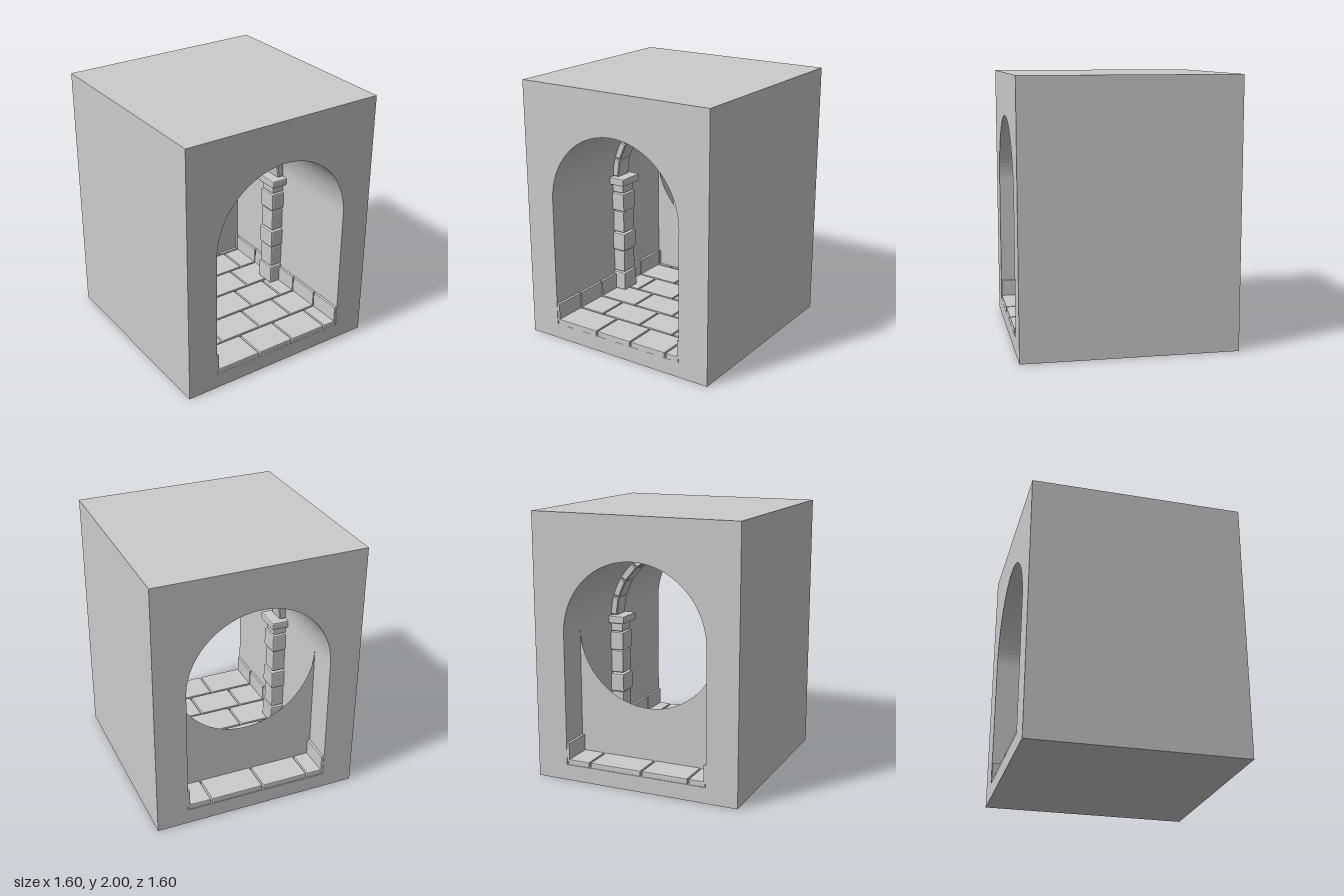
import * as THREE from 'three';
import { RoundedBoxGeometry } from 'three/addons/geometries/RoundedBoxGeometry.js';

const R = 0.56;        // tunnel radius and half width
const FLOOR = 0.12;    // bottom of the opening
const SPRING = 1.12;   // height where the arch starts
const HALF = 0.8;

const stone = new THREE.MeshStandardMaterial({ color: 0xcccccc, flatShading: true });
const thinStone = new THREE.MeshStandardMaterial({ color: 0xcccccc, side: THREE.DoubleSide });

function add(parent, geometry, name, material = stone) {
  const mesh = new THREE.Mesh(geometry, material);
  mesh.name = name;
  parent.add(mesh);
  return mesh;
}

function group(parent, name) {
  const g = new THREE.Group();
  g.name = name;
  parent.add(g);
  return g;
}

// Chamfered stone filling the given ranges
function block(parent, name, [x0, x1], [y0, y1], [z0, z1], chamfer = 0.007) {
  const mesh = add(parent, new RoundedBoxGeometry(x1 - x0, y1 - y0, z1 - z0, 1, chamfer), name);
  mesh.position.set((x0 + x1) / 2, (y0 + y1) / 2, (z0 + z1) / 2);
  return mesh;
}

// Solid block with an arched passage from front to back
function tunnelBlock(parent) {
  const outline = new THREE.Shape();
  outline.moveTo(-HALF, 0).lineTo(HALF, 0).lineTo(HALF, 2).lineTo(-HALF, 2).closePath();
  const opening = new THREE.Path();
  opening.moveTo(-R, FLOOR).lineTo(R, FLOOR).lineTo(R, SPRING);
  opening.absarc(0, SPRING, R, 0, Math.PI, false);
  opening.closePath();
  outline.holes.push(opening);
  const geometry = new THREE.ExtrudeGeometry(outline, { depth: 2 * HALF, bevelEnabled: false, curveSegments: 32 });
  geometry.translate(0, 0, -HALF);
  add(parent, geometry, 'tunnelBlock');
}

// Thin wall near the back, cut away by the lower half of a circle
function backWall(parent) {
  const shape = new THREE.Shape();
  shape.moveTo(-R, FLOOR).lineTo(R, FLOOR).lineTo(R, SPRING);
  shape.absarc(0, SPRING, R, 0, -Math.PI, true);
  const wall = add(parent, new THREE.ShapeGeometry(shape, 32), 'backWall', thinStone);
  wall.position.z = -0.56;
}

// Staggered rows of floor tiles, from front to back
function floorTiles(parent) {
  const floor = group(parent, 'floorTiles');
  const seams = [
    [-0.18, 0.13, 0.44],
    [-0.33, 0.02, 0.32],
    [-0.22, 0.14, 0.42],
    [-0.38, -0.04, 0.28],
    [-0.2, 0.12, 0.4],
    [-0.42, -0.05, 0.37],
  ];
  const depth = 2 * HALF / seams.length, gap = 0.006;
  seams.forEach((row, r) => {
    const xs = [-R, ...row, R], z1 = HALF - r * depth;
    for (let i = 0; i < xs.length - 1; i++) {
      block(floor, 'floorTile', [xs[i] + gap, xs[i + 1] - gap], [FLOOR - 0.01, 0.16],
        [z1 - depth + gap, z1 - (r ? gap : 0.001)]);
    }
  });
}

// Low stones along the foot of a side wall
function skirting(parent, side) {
  const g = group(parent, side > 0 ? 'leftSkirting' : 'rightSkirting');
  const count = 6, length = 2 * HALF / count;
  for (let i = 0; i < count; i++) {
    const z = -HALF + i * length;
    const stoneMesh = block(g, 'skirtingStone', [0.54, 0.57], [0.14, 0.285], [z + 0.004, z + length - 0.004], 0.005);
    stoneMesh.position.x *= side;
  }
}

// Pillar of alternating wide and narrow stones under a cap
function pillar(parent, side) {
  const g = group(parent, side > 0 ? 'leftPillar' : 'rightPillar');
  const courses = [
    [0.16, 0.31, 0.45, 0.08],
    [0.315, 0.495, 0.46, 0.07],
    [0.5, 0.645, 0.45, 0.08],
    [0.655, 0.83, 0.46, 0.07],
    [0.84, 0.985, 0.45, 0.08],
    [0.99, 1.055, 0.46, 0.07],
    [1.06, 1.12, 0.43, 0.11],
  ];
  courses.forEach(([y0, y1, inner, z], i) => {
    const mesh = block(g, i === courses.length - 1 ? 'pillarCap' : 'pillarStone', [inner, R + 0.01], [y0, y1], [-z, z], 0.01);
    mesh.position.x *= side;
  });
}

// Arch of wedge stones, flat on the inside and curved on the outside
function arch(parent) {
  const g = group(parent, 'arch');
  const count = 11, step = Math.PI / count, a = step / 2 - 0.006, bevel = 0.007, halfDepth = 0.07;
  const shape = new THREE.Shape();
  shape.absarc(0, 0, R + 0.003, Math.PI / 2 - a, Math.PI / 2 + a, false);
  shape.lineTo(-0.51 * Math.sin(a), 0.51 * Math.cos(a));
  shape.lineTo(0.51 * Math.sin(a), 0.51 * Math.cos(a));
  const geometry = new THREE.ExtrudeGeometry(shape, {
    depth: 2 * (halfDepth - bevel), curveSegments: 4,
    bevelSegments: 1, bevelSize: bevel, bevelThickness: bevel, bevelOffset: -bevel,
  });
  geometry.translate(0, 0, bevel - halfDepth);
  for (let i = 0; i < count; i++) {
    const wedge = add(g, geometry, 'archStone');
    wedge.position.y = SPRING;
    wedge.rotation.z = (i - (count - 1) / 2) * step;
  }
}

export function createModel() {
  const model = new THREE.Group();
  model.name = 'archedTunnel';
  tunnelBlock(model);
  backWall(model);
  floorTiles(model);
  for (const side of [-1, 1]) {
    skirting(model, side);
    pillar(model, side);
  }
  arch(model);
  return model;
}
